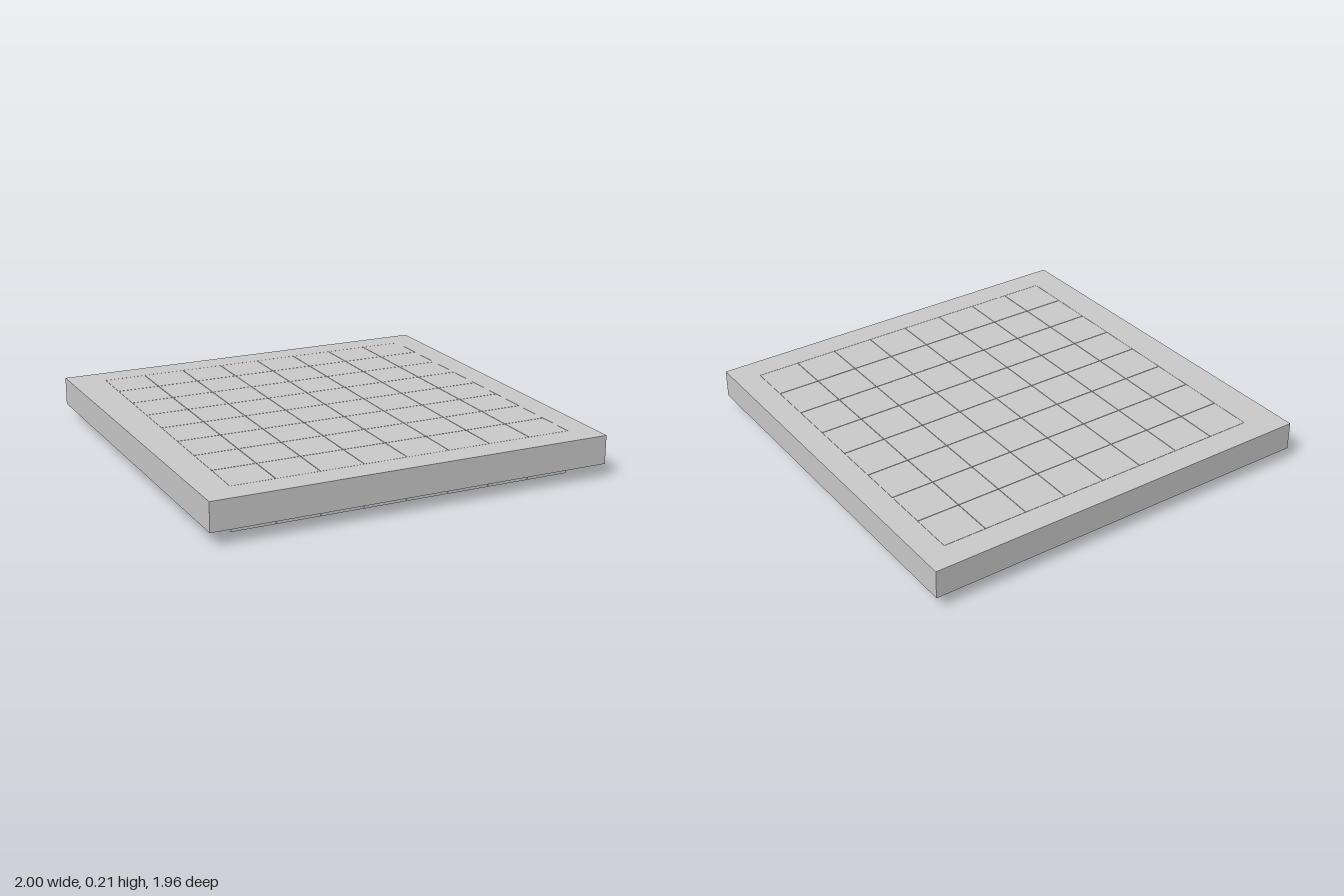
import * as THREE from 'three';

const material = new THREE.MeshStandardMaterial({ color: 0xcccccc, flatShading: true });
const TOP = 0.21, FRAME_BOTTOM = 0.07;
const COUNT = 8, PITCH = 0.2125, GAP = 0.003;
const CENTRE_X = 0.025, HALF = (COUNT * PITCH) / 2;

// Four-sided outline from [x, z] corners; z is flipped for the later tilt.
const corners = (list) => list.map(([x, z]) => new THREE.Vector2(x, -z));

function addFrame(board) {
  // The outer left edge runs slightly out of square.
  const shape = new THREE.Shape(corners([[-0.97, 0.98], [1, 0.98], [1, -0.98], [-1, -0.98]]));
  const x0 = CENTRE_X - HALF, x1 = CENTRE_X + HALF;
  shape.holes.push(new THREE.Path(corners([[x0, HALF], [x0, -HALF], [x1, -HALF], [x1, HALF]])));
  const geometry = new THREE.ExtrudeGeometry(shape, { depth: TOP - FRAME_BOTTOM, bevelEnabled: false });
  geometry.rotateX(-Math.PI / 2).translate(0, FRAME_BOTTOM, 0);
  const frame = new THREE.Mesh(geometry, material);
  frame.name = 'frame';
  board.add(frame);
}

function addSquares(board) {
  // Deep blocks, flush with the frame on top and projecting below it.
  const squares = new THREE.Group();
  squares.name = 'squares';
  const geometry = new THREE.BoxGeometry(PITCH - GAP, TOP, PITCH - GAP);
  for (let row = 0; row < COUNT; row++) {
    for (let column = 0; column < COUNT; column++) {
      const square = new THREE.Mesh(geometry, material);
      square.name = `square${row + 1}x${column + 1}`;
      square.position.set(
        CENTRE_X - HALF + (column + 0.5) * PITCH,
        TOP / 2,
        -HALF + (row + 0.5) * PITCH
      );
      squares.add(square);
    }
  }
  board.add(squares);
}

export function createModel() {
  const board = new THREE.Group();
  board.name = 'checkeredBoard';
  addFrame(board);
  addSquares(board);
  return board;
}
